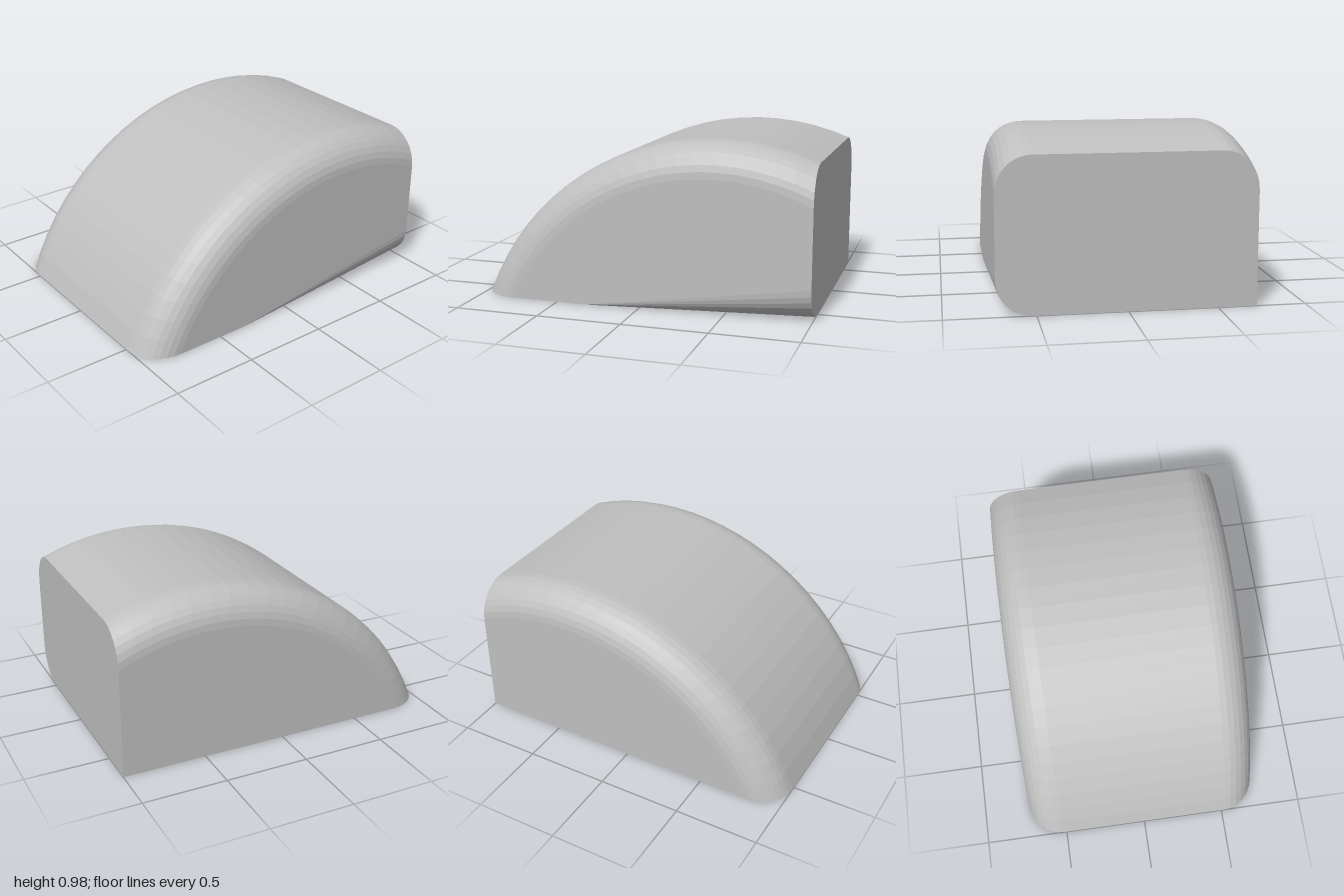
import * as THREE from 'three';

const HALF = 0.72, FILLET = 0.2, RADIUS = 1.533; // half width, edge rounding, arc radius
const CY = -0.553, CZ = -0.43, BACK = -1;        // arc centre and back plane
const ARC_STEPS = 20, FILLET_STEPS = 8;

const v = (x, y, z) => new THREE.Vector3(x, y, z);

// Fan triangulation of a convex outline
const fan = (pts) => pts.slice(2).flatMap((p, i) => [pts[0], pts[i + 1], p]);

// One arc at distance rho from the arc axis, trimmed by the floor and the back plane
function arcAt(x, rho) {
  const start = Math.asin(-CY / rho);
  const end = Math.acos((BACK - CZ) / rho);
  return Array.from({ length: ARC_STEPS + 1 }, (_, j) => {
    const a = start + (end - start) * j / ARC_STEPS;
    return v(x, CY + rho * Math.sin(a), CZ + rho * Math.cos(a));
  });
}

export function createModel() {
  const group = new THREE.Group();
  group.name = 'roundedWedge';
  const grey = new THREE.MeshStandardMaterial({ color: 0xbfbfbf, flatShading: true });
  grey.name = 'plain grey';

  const add = (name, triangles) => {
    const geometry = new THREE.BufferGeometry().setFromPoints(triangles);
    geometry.computeVertexNormals();
    const mesh = new THREE.Mesh(geometry, grey);
    mesh.name = name;
    group.add(mesh);
  };

  // Arcs across the width: rounded edge, flat middle, rounded edge
  const arcs = [];
  for (const side of [-1, 1]) {
    for (let k = 0; k <= FILLET_STEPS; k++) {
      const t = (side < 0 ? k : FILLET_STEPS - k) / FILLET_STEPS * Math.PI / 2;
      const x = side * (HALF - FILLET + FILLET * Math.cos(t));
      arcs.push(arcAt(x, RADIUS - FILLET + FILLET * Math.sin(t)));
    }
  }

  // Curved top skin
  const skin = [];
  for (let i = 0; i < arcs.length - 1; i++) {
    for (let j = 0; j < ARC_STEPS; j++) {
      skin.push(...fan([arcs[i][j], arcs[i + 1][j], arcs[i + 1][j + 1], arcs[i][j + 1]]));
    }
  }
  add('curvedTop', skin);

  // Tapered rounding of the left lower edge, growing towards the back
  const apex = v(HALF, 0, 0.33);
  const taper = Array.from({ length: FILLET_STEPS + 1 }, (_, k) => {
    const t = k / FILLET_STEPS * Math.PI / 2;
    return v(HALF - FILLET + FILLET * Math.cos(t), FILLET - FILLET * Math.sin(t), BACK);
  });
  add('taperedLowerEdge', fan([apex, ...[...taper].reverse()]));

  // Flat faces
  const corner = v(-HALF, 0, BACK);
  const leftArc = arcs[arcs.length - 1];
  add('rightSide', fan([...arcs[0], corner]));
  add('leftSide', fan([...leftArc, taper[0], apex].reverse()));
  add('backFace', fan([...arcs.map((a) => a[ARC_STEPS]), ...taper, corner]));
  add('base', fan([...arcs.map((a) => a[0]), apex, taper[FILLET_STEPS], corner].reverse()));

  return group;
}
